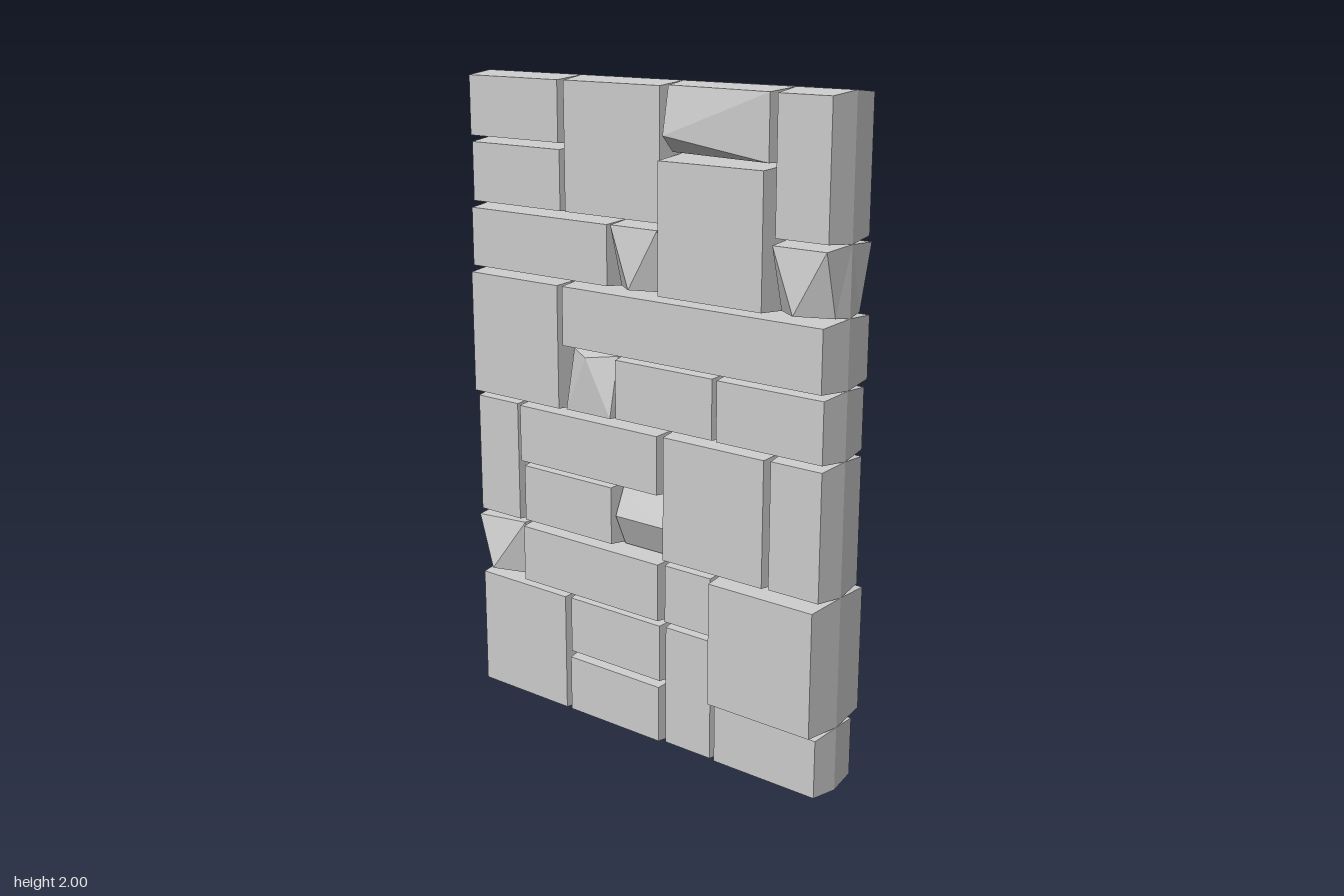
import * as THREE from 'three';

// The wall is a grid of 7 columns (running from +z to -z) by 10 rows (upwards).
const COL = 1.32 / 7, ROW = 0.2;

// Plain stones: column, row, columns wide, rows high, half thickness
const BLOCKS = [
  [0, 0, 2, 1, 0.095], [0, 1, 2, 2, 0.13], [2, 0, 1, 2, 0.09], [2, 2, 1, 1, 0.095],
  [3, 0, 2, 1, 0.1], [3, 1, 2, 1, 0.095], [5, 0, 2, 2, 0.1], [3, 2, 3, 1, 0.105],
  [0, 3, 1, 2, 0.1], [1, 3, 2, 2, 0.105], [3, 4, 3, 1, 0.11], [4, 3, 2, 1, 0.095], [6, 3, 1, 2, 0.1],
  [0, 5, 2, 1, 0.1], [2, 5, 2, 1, 0.095], [5, 5, 2, 2, 0.115], [0, 6, 5, 1, 0.115],
  [1, 7, 2, 2, 0.13], [4, 7, 3, 1, 0.105],
  [0, 8, 1, 2, 0.1], [3, 8, 2, 2, 0.095], [5, 8, 2, 1, 0.095], [5, 9, 2, 1, 0.1],
];

// Rough stones: column, row, width, height, corner depths (anticlockwise from
// lower +z corner), and a peak given as [across, up, depth]
const ROUGH = [
  [0, 7, 1, 1, [0.06, 0.06, 0.11, 0.11], [0.5, 0.08, 0.135]],
  [3, 7, 1, 1, [0.06, 0.06, 0.11, 0.11], [0.5, 0.08, 0.135]],
  [4, 5, 1, 1, [0.1, 0.1, 0.06, 0.06], [0.5, 0.92, 0.11]],
  [6, 2, 1, 1, [0.05, 0.06, 0.11, 0.08], [0.55, 0.15, 0.135]],
  [1, 9, 2, 1, [0.11, 0.06, 0.08, 0.11], [0.97, 0.28, 0.11]],
];

// A wedge whose two halves meet in a level ridge
const RIDGE = [
  [3, 3, 1, 0.5, [0.04, 0.04, 0.085, 0.085]],
  [3, 3.5, 1, 0.5, [0.085, 0.085, 0.04, 0.04]],
];

// A stone is full size at x = 0 and narrows by `inset` towards both faces.
function stoneGeometry([col, row, w, h, depth, peak], inset) {
  const d = Array.isArray(depth) ? depth : [depth, depth, depth, depth];
  const z0 = 0.66 - col * COL, z1 = z0 - w * COL;
  const y0 = row * ROW, y1 = y0 + h * ROW;
  const [pu, pv, pd] = peak || [0.5, 0.5, (d[0] + d[1] + d[2] + d[3]) / 4];
  const ring = (i) => {
    const e = i;
    return [[y0 + e, z0 - e], [y0 + e, z1 + e], [y1 - e, z1 + e], [y1 - e, z0 - e]];
  };
  const middle = ring(0).map(([y, z]) => [0, y, z]);
  const pos = [];
  for (const side of [1, -1]) {
    const face = ring(inset).map(([y, z], i) => [side * d[i], y, z]);
    const top = [side * pd, y0 + pv * (y1 - y0), z0 + pu * (z1 - z0)];
    const tri = (a, b, c) => pos.push(...a, ...(side > 0 ? b : c), ...(side > 0 ? c : b));
    for (let i = 0; i < 4; i++) {
      const j = (i + 1) % 4;
      tri(middle[i], middle[j], face[j]);
      tri(middle[i], face[j], face[i]);
      tri(face[i], face[j], top);
    }
  }
  const geo = new THREE.BufferGeometry();
  geo.setAttribute('position', new THREE.Float32BufferAttribute(pos, 3));
  geo.computeVertexNormals();
  return geo;
}

export function createModel() {
  const wall = new THREE.Group();
  wall.name = 'stoneWall';
  const material = new THREE.MeshStandardMaterial({ color: 0xcccccc, flatShading: true });

  const addStones = (list, name, inset) => {
    const group = new THREE.Group();
    group.name = name + 's';
    list.forEach((spec, i) => {
      const mesh = new THREE.Mesh(stoneGeometry(spec, inset), material);
      mesh.name = name + (i + 1);
      group.add(mesh);
    });
    wall.add(group);
  };

  addStones(BLOCKS, 'cutStone', 0.01);
  addStones(ROUGH, 'roughStone', 0.008);
  addStones(RIDGE, 'ridgeStoneHalf', 0);
  return wall;
}
